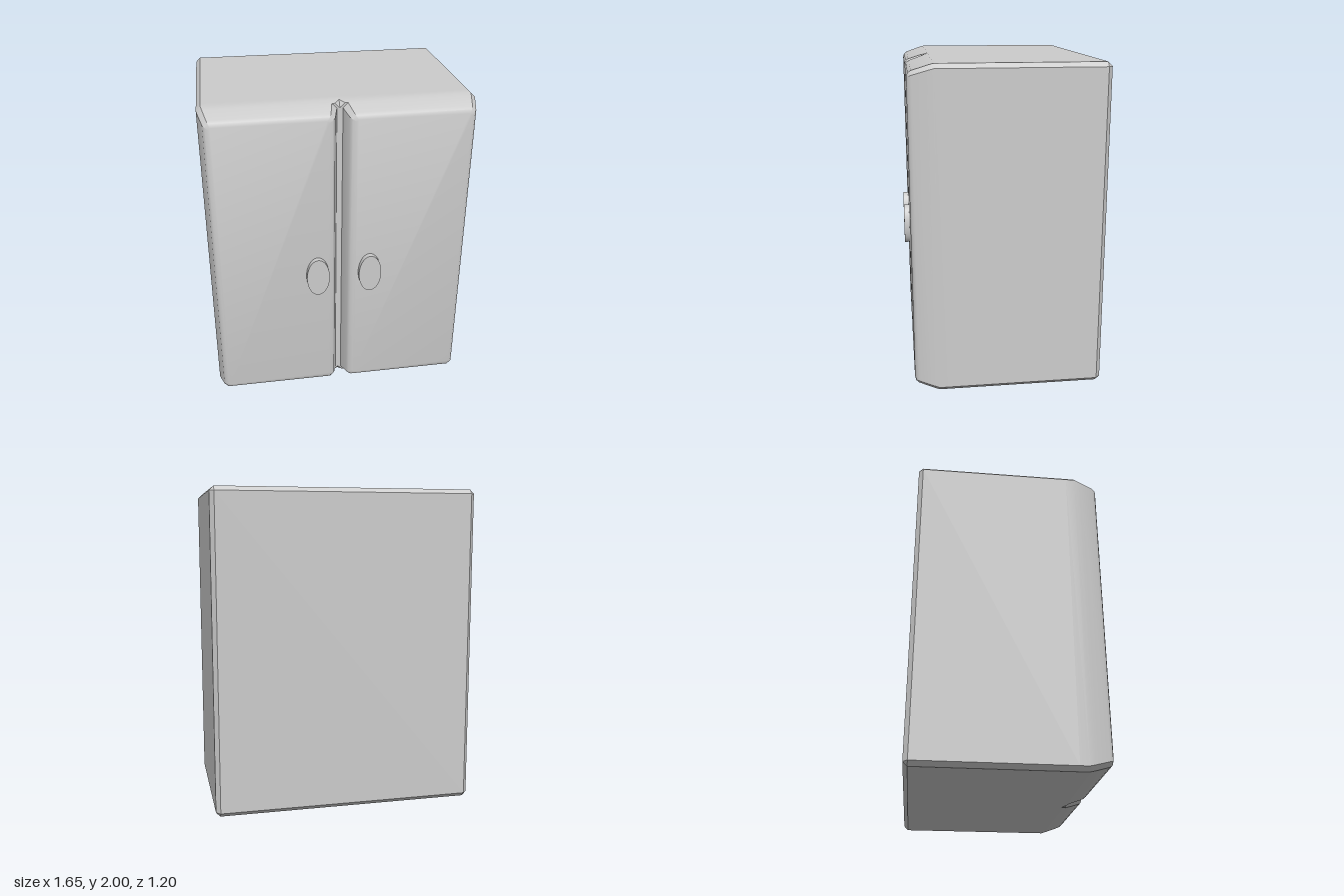
import * as THREE from 'three';
import { toCreasedNormals } from 'three/addons/utils/BufferGeometryUtils.js';

const material = new THREE.MeshStandardMaterial({ color: 0xcccccc });

// Rectangle with cut corners, counter-clockwise; cl and cr are the left and right cuts
function ring({ x0, x1, inset, cl, cr, z }) {
  const y0 = inset, y1 = 2 - inset;
  return [
    [x0 + cl, y0, z], [x1 - cr, y0, z], [x1, y0 + cr, z], [x1, y1 - cr, z],
    [x1 - cr, y1, z], [x0 + cl, y1, z], [x0, y1 - cl, z], [x0, y0 + cl, z],
  ];
}

// Skin through rings that run from back to front, with optional end caps
function loft(name, sections, capBack, capFront) {
  const rings = sections.map(ring);
  const index = [];
  for (let r = 0; r < rings.length - 1; r++) {
    for (let i = 0; i < 8; i++) {
      const a = r * 8 + i, b = r * 8 + (i + 1) % 8;
      index.push(a, b, b + 8, a, b + 8, a + 8);
    }
  }
  const last = (rings.length - 1) * 8;
  for (let i = 1; i < 7; i++) {
    if (capBack) index.push(0, i + 1, i);
    if (capFront) index.push(last, last + i, last + i + 1);
  }
  const geometry = new THREE.BufferGeometry();
  geometry.setAttribute('position', new THREE.Float32BufferAttribute(rings.flat(2), 3));
  geometry.setIndex(index);
  const mesh = new THREE.Mesh(toCreasedNormals(geometry, 0.6), material);
  mesh.name = name;
  return mesh;
}

export function createModel() {
  const group = new THREE.Group();
  group.name = 'cabinet';
  const W = 0.826, cut = 0.027, seam = 0.36;

  // Box body with bevelled edges, open where the doors continue it
  group.add(loft('body', [
    { x0: -W + cut, x1: W - cut, inset: cut, cl: 0, cr: 0, z: -0.6 },
    { x0: -W, x1: W, inset: 0, cl: cut, cr: cut, z: -0.6 + cut },
    { x0: -W, x1: W, inset: 0, cl: cut, cr: cut, z: seam },
  ], true, false));

  // Door sections: z, inner x, outer x, top and bottom inset, inner cut, outer cut
  const profile = [
    [seam, 0, W, 0, 0, cut],
    [0.415, 0, W, 0, 0, cut],
    [0.45, 0, 0.818, 0.01, 0.03, cut],
    [0.45, 0.018, 0.818, 0.01, 0.03, cut],
    [0.54, 0.042, 0.796, 0.04, 0.025, 0.025],
    [0.558, 0.056, 0.783, 0.053, 0.02, 0.02],
    [0.566, 0.08, 0.765, 0.075, 0.012, 0.012],
  ];
  for (const side of [1, -1]) {
    const sections = profile.map(([z, xi, xo, inset, ci, co]) => side > 0
      ? { x0: xi, x1: xo, inset, cl: ci, cr: co, z }
      : { x0: -xo, x1: -xi, inset, cl: co, cr: ci, z });
    group.add(loft(side > 0 ? 'leftDoor' : 'rightDoor', sections, false, true));

    // Flat oval knob
    const knob = new THREE.Mesh(
      new THREE.CylinderGeometry(1, 1, 0.05, 48).rotateX(Math.PI / 2), material);
    knob.name = side > 0 ? 'leftKnob' : 'rightKnob';
    knob.scale.set(0.072, 0.128, 1);
    knob.position.set(side > 0 ? 0.178 : -0.154, 0.895, 0.575);
    group.add(knob);
  }
  return group;
}
